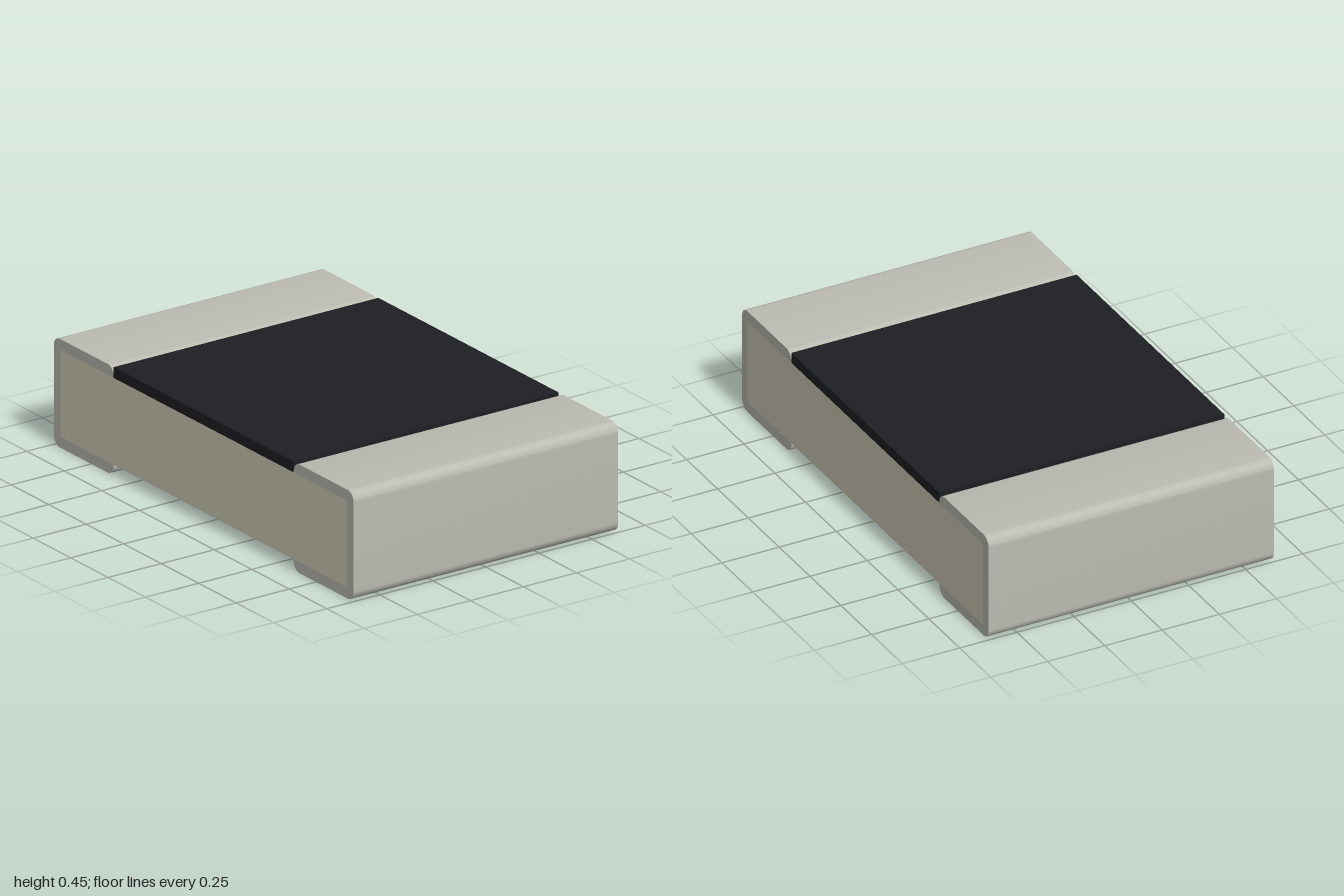
import * as THREE from 'three';
import { toCreasedNormals } from 'three/addons/utils/BufferGeometryUtils.js';

const DEPTH = 1.246; // full depth along z
const HEIGHT = 0.45; // full height
const WALL = 0.045; // plating and coating thickness
const INNER = 0.6; // where the end caps begin
const R = 0.04; // rounding of the cap edges

function addBox(group, name, w, y0, y1, material) {
  const mesh = new THREE.Mesh(new THREE.BoxGeometry(w, y1 - y0, DEPTH), material);
  mesh.name = name;
  mesh.position.y = (y0 + y1) / 2;
  group.add(mesh);
}

// C-shaped plating wrapped around one end, extruded along z
function capGeometry() {
  const s = new THREE.Shape();
  s.moveTo(INNER, WALL);
  s.lineTo(INNER, R);
  s.absarc(INNER + R, R, R, Math.PI, Math.PI * 1.5, false);
  s.absarc(1 - R, R, R, Math.PI * 1.5, Math.PI * 2, false);
  s.absarc(1 - R, HEIGHT - R, R, 0, Math.PI / 2, false);
  s.absarc(INNER + R, HEIGHT - R, R, Math.PI / 2, Math.PI, false);
  s.lineTo(INNER, HEIGHT - WALL);
  s.lineTo(1 - WALL, HEIGHT - WALL);
  s.lineTo(1 - WALL, WALL);
  s.closePath();
  const geo = new THREE.ExtrudeGeometry(s, { depth: DEPTH, bevelEnabled: false, curveSegments: 8 });
  geo.translate(0, 0, -DEPTH / 2);
  return toCreasedNormals(geo, Math.PI / 5);
}

export function createModel() {
  const group = new THREE.Group();
  group.name = 'chipResistor';
  const ceramic = new THREE.MeshStandardMaterial({ color: 0xd0ccb8 });
  const metal = new THREE.MeshStandardMaterial({ color: 0xbbbbb2 });
  const coating = new THREE.MeshStandardMaterial({ color: 0x1e1f22 });

  // Ceramic core and the dark coating on top
  addBox(group, 'ceramicBody', 2 * (1 - WALL), WALL, HEIGHT - WALL, ceramic);
  addBox(group, 'topCoating', 2 * INNER, HEIGHT - WALL, HEIGHT, coating);

  // End caps, the right one turned half way round
  const geo = capGeometry();
  for (const [name, turn] of [['leftEndCap', 0], ['rightEndCap', Math.PI]]) {
    const cap = new THREE.Mesh(geo, metal);
    cap.name = name;
    cap.rotation.y = turn;
    group.add(cap);
  }
  return group;
}
